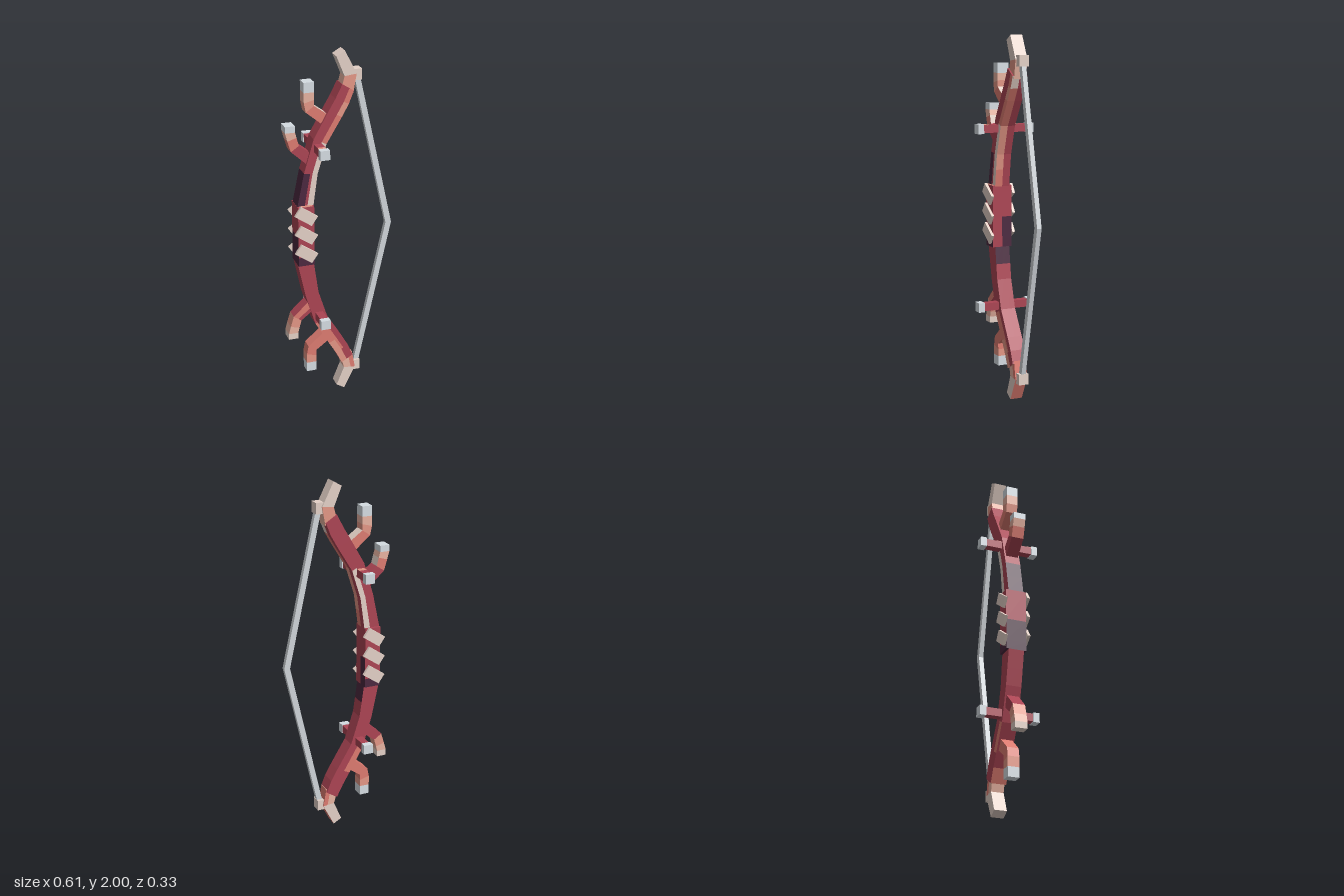
import * as THREE from 'three';

const colours = {
  R: ['crimsonWood', 0xab4453], D: ['darkWood', 0x4b283f], S: ['salmonWood', 0xdc7b70], C: ['coralWood', 0xe39685],
  P: ['peachWood', 0xe8b3a1], B: ['paleBone', 0xe3d0c6], G: ['greyTip', 0xd5dce2], T: ['stringGrey', 0xcfd4d8],
};
const codes = Object.keys(colours);

export function createModel() {
  const mats = codes.map((c) => {
    const m = new THREE.MeshStandardMaterial({ color: colours[c][1] });
    m.name = colours[c][0];
    return m;
  });
  const bow = new THREE.Group();
  bow.name = 'bow';

  // Sweep of a rectangle. Stations: [outerX, outerY, innerX, innerY], rising.
  // Each segment has a code per strip: front outer, middle, inner; inner front, inner back;
  // back inner, middle, outer; outer. One letter colours all strips.
  function loft(name, stations, paint, halfZ) {
    const rings = stations.map(([ox, oy, ix, iy]) => {
      const at = (t, z) => [ox + (ix - ox) * t, oy + (iy - oy) * t, z];
      const front = [0, 0.45, 0.62, 1].map((t) => at(t, halfZ));
      const back = [1, 0.62, 0.45, 0].map((t) => at(t, -halfZ));
      return [...front, at(1, 0), ...back];
    });
    const bucket = codes.map(() => []);
    const tri = (c, ...p) => bucket[codes.indexOf(c)].push(...p.flat());
    const n = 9, last = rings.length - 1;
    paint.forEach((row, s) => {
      for (let k = 0; k < n; k++) {
        const j = (k + 1) % n, lo = rings[s], hi = rings[s + 1], c = row[k] ?? row[0];
        tri(c, lo[k], lo[j], hi[j]);
        tri(c, lo[k], hi[j], hi[k]);
      }
    });
    for (let k = 1; k < n - 1; k++) {
      tri(paint[0][0], rings[0][0], rings[0][k + 1], rings[0][k]);
      tri(paint[last - 1][0], rings[last][0], rings[last][k], rings[last][k + 1]);
    }
    const geo = new THREE.BufferGeometry();
    geo.setAttribute('position', new THREE.Float32BufferAttribute(bucket.flat(), 3));
    let start = 0;
    bucket.forEach((b, i) => {
      if (b.length) geo.addGroup(start, b.length / 3, i);
      start += b.length / 3;
    });
    geo.computeVertexNormals();
    const mesh = new THREE.Mesh(geo, mats);
    mesh.name = name;
    bow.add(mesh);
  }

  // Sweep given as heights away from the grip, placed above (1) or below (-1).
  function limbPart(name, sign, half, paint, halfZ) {
    const st = half.map(([ox, oh, ix, ih]) => [ox, 1 + sign * oh, ix, 1 + sign * ih]);
    const rows = [...paint];
    if (sign < 0) { st.reverse(); rows.reverse(); }
    loft(name, st, rows, halfZ);
  }

  function box(name, code, size, pos, rotZ = 0) {
    const mesh = new THREE.Mesh(new THREE.BoxGeometry(...size), mats[codes.indexOf(code)]);
    mesh.name = name;
    mesh.position.set(...pos);
    mesh.rotation.z = rotZ;
    bow.add(mesh);
  }

  // Grip, with a light front rim on its top edge
  loft('grip', [
    [-0.245, 0.83, -0.155, 0.83], [-0.245, 0.88, -0.155, 0.88],
    [-0.245, 1.0, -0.155, 1.0], [-0.245, 1.175, -0.155, 1.175],
  ], ['DDDRDDDDD', 'RRRRDRRRD', 'R'], 0.057);
  box('gripRim', 'C', [0.07, 0.004, 0.013], [-0.2, 1.176, 0.0505]);

  // Limbs
  const limb = [
    [-0.245, 0.17, -0.155, 0.17], [-0.224, 0.27, -0.142, 0.265], [-0.205, 0.36, -0.13, 0.35],
    [-0.15, 0.545, -0.08, 0.51], [-0.07, 0.685, 0.005, 0.65], [-0.03, 0.752, 0.043, 0.717],
    [0.007, 0.825, 0.07, 0.785],
  ];
  limbPart('upperLimb', 1, limb,
    ['DRBSRBRRD', 'DRBCRBRRD', 'RRBCRBRRR', 'RRSSRRRRR', 'RRCSRRRRR', 'RRSBRRRRR'], 0.043);
  limbPart('lowerLimb', -1, limb,
    ['RRRDDRRRR', 'R', 'R', 'SSRRRRRSR', 'CSRRRRRRR', 'CRRRRRRRS'], 0.043);

  for (const s of [1, -1]) {
    const up = s > 0, side = up ? 'upper' : 'lower';

    // Limb tip and string nock
    limbPart(side + 'Tip', s, [
      [0.005, 0.8, 0.07, 0.77], [0.022, 0.865, 0.088, 0.872], [-0.022, 0.973, 0.024, 1.0],
    ], up ? ['CCCPPCCCP', 'B'] : ['PPSSSSPPP', 'BBBSSBBBB'], 0.035);
    box(side + 'Nock', 'B', [0.06, 0.06, 0.056], [0.09, 1 + s * 0.865, 0]);

    // Forked prongs
    limbPart(side + 'OuterProng', s, [
      [-0.08, 0.6, -0.045, 0.65], [-0.188, 0.69, -0.143, 0.722], [-0.198, 0.74, -0.142, 0.755],
      [-0.198, 0.795, -0.142, 0.795], [-0.198, 0.85, -0.142, 0.85],
    ], [up ? 'SSSBBSSSS' : 'S', up ? 'C' : 'S', up ? 'P' : 'C', 'G'], 0.032);
    limbPart(side + 'InnerProng', s, [
      [-0.18, 0.4, -0.15, 0.455], [-0.272, 0.485, -0.228, 0.515], [-0.29, 0.545, -0.24, 0.56],
      [-0.302, 0.59, -0.248, 0.59], [-0.302, 0.625, -0.248, 0.625],
    ], up ? ['R', 'SSSBBSSSS', 'P', 'G'] : ['SSRSSRRRR', 'C', 'P', 'B'], 0.034);

    // Cross pegs with end caps
    const y = 1 + s * 0.495;
    box(side + 'Peg', 'R', [0.043, 0.043, 0.27], [-0.128, y, 0]);
    for (const z of [-0.149, 0.149]) box(side + 'PegCap', 'G', [0.053, 0.053, 0.035], [-0.128, y, z]);
  }

  // Light patches on top of the upper pegs
  for (const z of [-0.059, 0.117]) box('pegPatch', 'C', [0.043, 0.003, 0.03], [-0.128, 1.517, z]);

  // Slanted grip wraps on both faces
  for (const y of [1.125, 1.015, 0.905]) {
    for (const f of [1, -1]) box('gripWrap', 'B', [0.112, 0.062, 0.016], [-0.203, y, f * 0.064], -f * 0.61);
  }

  // Drawn string
  loft('string', [[0.082, 0.14, 0.112, 0.135], [0.27, 1, 0.303, 1], [0.082, 1.86, 0.112, 1.865]], ['T', 'T'], 0.013);
  return bow;
}
